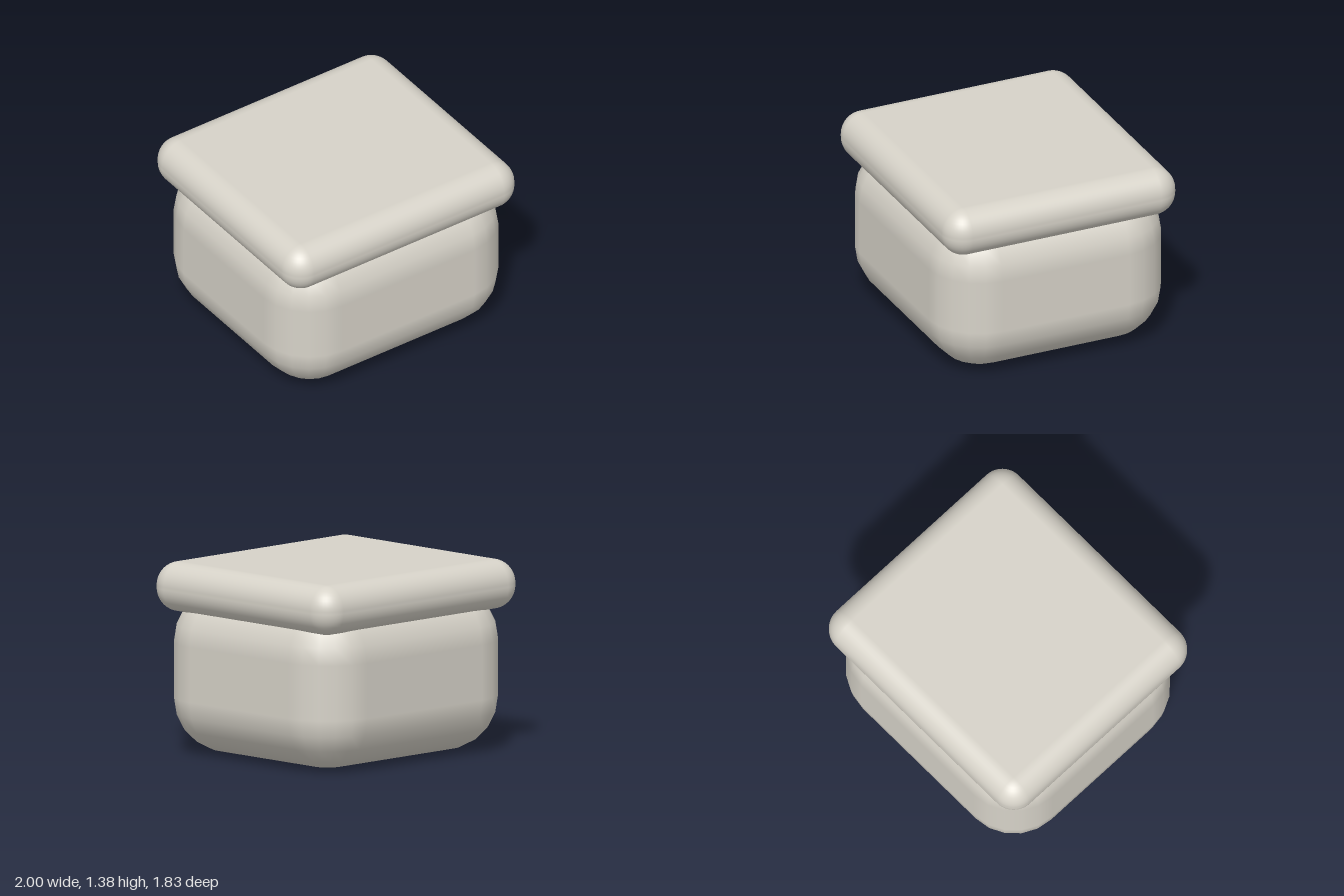
import * as THREE from 'three';

// Rounded box with n even facets per quarter turn: a sphere whose octants are pushed apart.
function roundedBox(w, h, d, r, n) {
  const cols = 4 * (n + 1), rows = 2 * n + 3;
  const geo = new THREE.SphereGeometry(1, cols, rows);
  const pos = geo.attributes.position, nor = geo.attributes.normal;
  const normal = new THREE.Vector3();
  for (let iy = 0; iy <= rows; iy++) {
    const pole = iy === 0 || iy === rows; // centre of the flat top or bottom
    const upper = iy <= n + 1;
    const step = THREE.MathUtils.clamp(upper ? iy - 1 : iy - 2, 0, 2 * n);
    const theta = (step / n) * Math.PI / 2;
    for (let ix = 0; ix <= cols; ix++) {
      const q = Math.floor(ix / (n + 1)) % 4, k = ix % (n + 1);
      const phi = (q + k / n) * Math.PI / 2;
      const sx = q === 1 || q === 2 ? 1 : -1, sz = q < 2 ? 1 : -1, sy = upper ? 1 : -1;
      normal.set(-Math.cos(phi) * Math.sin(theta), Math.cos(theta), Math.sin(phi) * Math.sin(theta));
      const i = iy * (cols + 1) + ix;
      pos.setXYZ(i,
        pole ? 0 : sx * (w / 2 - r) + normal.x * r,
        sy * (h / 2 - r) + normal.y * r,
        pole ? 0 : sz * (d / 2 - r) + normal.z * r);
      nor.setXYZ(i, normal.x, normal.y, normal.z);
    }
  }
  return geo;
}

export function createModel() {
  const group = new THREE.Group();
  group.name = 'cushionedStool';
  const cream = new THREE.MeshStandardMaterial({ color: 0xd6d2c8 });
  cream.name = 'cream';

  const add = (name, geometry, y) => {
    const mesh = new THREE.Mesh(geometry, cream);
    mesh.name = name;
    mesh.position.y = y;
    group.add(mesh);
  };

  // Soft base with broad, coarse rounding; its top is sunk into the lid
  add('base', roundedBox(1.96, 1.2, 1.8, 0.4, 5), 0.6);
  // Overhanging lid with finely rounded edges
  add('lid', roundedBox(2, 0.36, 1.83, 0.17, 10), 1.2);

  return group;
}
